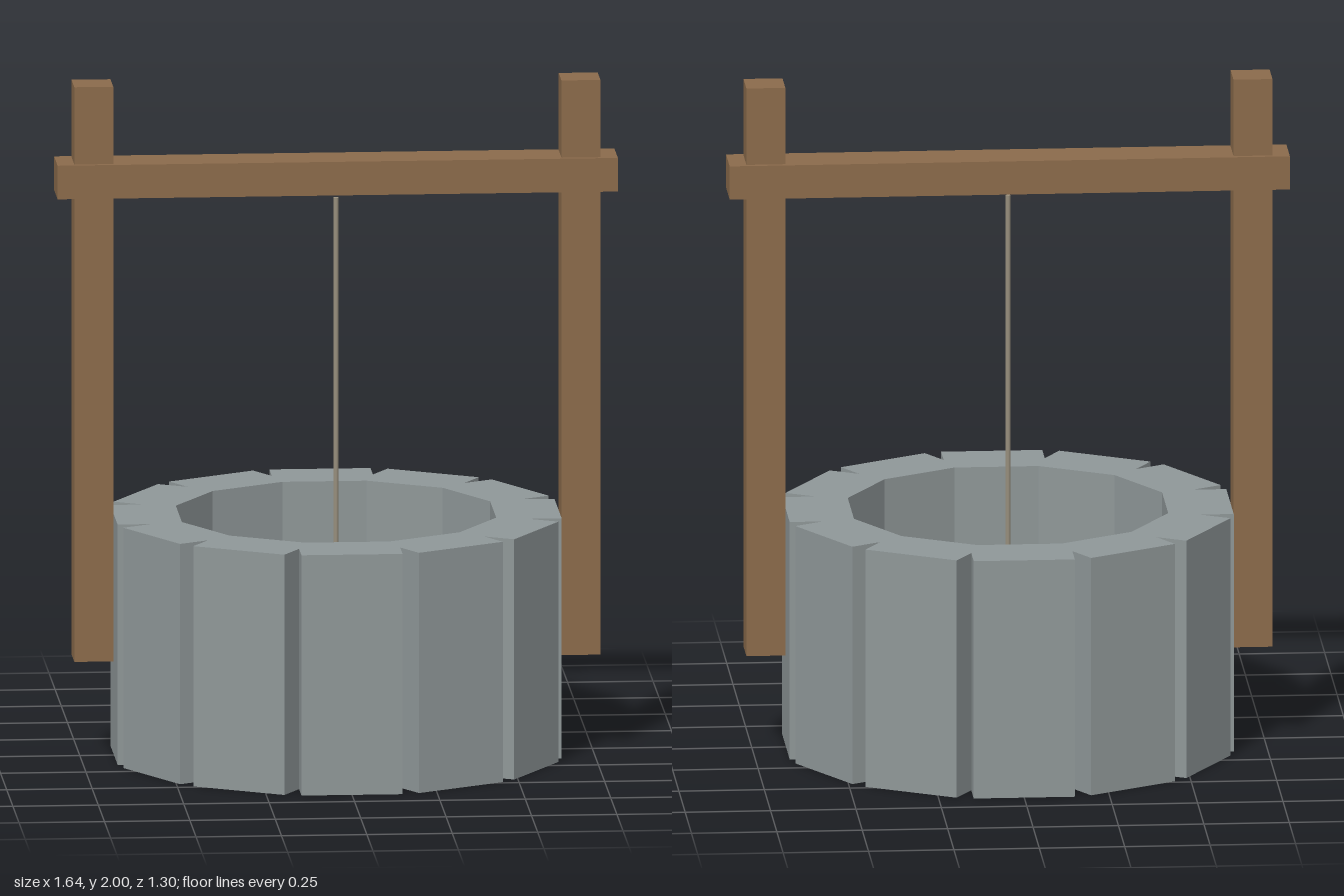
import * as THREE from 'three';

const SIDES = 12;
const STEP = (Math.PI * 2) / SIDES;

const material = (name, color) => {
  const m = new THREE.MeshStandardMaterial({ color });
  m.name = name;
  return m;
};

function addMesh(group, name, geometry, mat, x, y, z) {
  const mesh = new THREE.Mesh(geometry, mat);
  mesh.name = name;
  mesh.position.set(x, y, z);
  group.add(mesh);
  return mesh;
}

// Ring of twelve stone slabs, with a V-shaped joint between neighbours
function stoneRingGeometry(outer, inner, halfWidth, height) {
  const outline = [];
  const hole = [];
  const jointRadius = halfWidth / Math.sin(STEP / 2);
  const cornerRadius = inner / Math.cos(STEP / 2);
  for (let i = 0; i < SIDES; i++) {
    const a = i * STEP;
    const c = Math.cos(a), s = Math.sin(a);
    for (const w of [-halfWidth, halfWidth]) {
      outline.push(new THREE.Vector2(outer * c - w * s, outer * s + w * c));
    }
    const b = a + STEP / 2;
    const dir = new THREE.Vector2(Math.cos(b), Math.sin(b));
    outline.push(dir.clone().multiplyScalar(jointRadius));
    hole.push(dir.clone().multiplyScalar(cornerRadius));
  }
  const shape = new THREE.Shape(outline);
  shape.holes.push(new THREE.Path(hole.reverse()));
  const geometry = new THREE.ExtrudeGeometry(shape, { depth: height, bevelEnabled: false });
  return geometry.rotateX(-Math.PI / 2);
}

export function createModel() {
  const model = new THREE.Group();
  model.name = 'well';

  const stone = material('stone', 0x8f9798);
  const wood = material('wood', 0x8b6b4b);
  const water = material('water', 0x4a9fb0);
  const rope = material('rope', 0x9a917f);

  // Well shaft and the water at its bottom
  addMesh(model, 'stoneWall', stoneRingGeometry(0.65, 0.46, 0.148, 0.715), stone, 0, 0, 0);
  const waterGeometry = new THREE.CylinderGeometry(0.46, 0.46, 0.04, SIDES).toNonIndexed();
  waterGeometry.computeVertexNormals();
  addMesh(model, 'water', waterGeometry, water, 0, 0.04, 0);

  // Wooden posts and crossbeam
  for (const [name, side] of [['leftPost', 1], ['rightPost', -1]]) {
    addMesh(model, name, new THREE.BoxGeometry(0.114, 1.71, 0.114), wood, side * 0.713, 1.145, 0);
  }
  addMesh(model, 'crossbeam', new THREE.BoxGeometry(1.64, 0.1, 0.143), wood, 0, 1.72, 0);

  // Rope hanging down the shaft
  const ropeTop = 1.65, ropeBottom = 0.06;
  addMesh(model, 'rope', new THREE.CylinderGeometry(0.008, 0.008, ropeTop - ropeBottom, 6),
    rope, 0, (ropeTop + ropeBottom) / 2, 0);

  return model;
}
